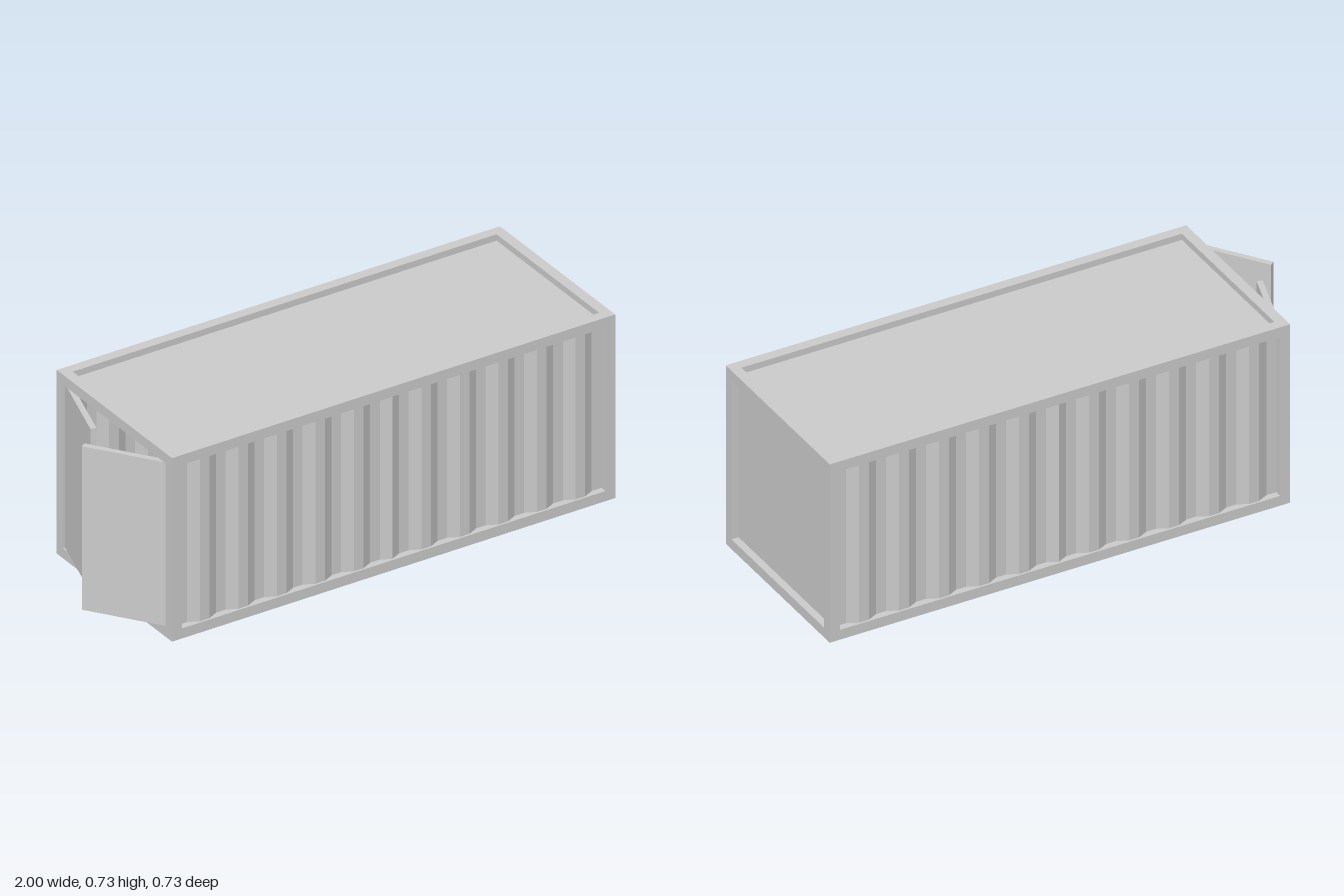
import * as THREE from 'three';

const X0 = -0.822, X1 = 1, H = 0.729, Z = 0.364, B = 0.04; // outer limits and beam size
const MID = (X0 + X1) / 2, LEN = X1 - X0;

export function createModel() {
  const model = new THREE.Group();
  model.name = 'cargoContainer';
  const grey = new THREE.MeshStandardMaterial({ color: 0xcccccc, flatShading: true });
  const sheet = new THREE.MeshStandardMaterial({ color: 0xcccccc, flatShading: true, side: THREE.DoubleSide });

  const box = (name, w, h, d, x, y, z, parent = model) => {
    const mesh = new THREE.Mesh(new THREE.BoxGeometry(w, h, d), grey);
    mesh.name = name;
    mesh.position.set(x, y, z);
    parent.add(mesh);
    return mesh;
  };

  // Frame: corner posts, long rails and end rails at top and bottom
  const frame = new THREE.Group();
  frame.name = 'frame';
  model.add(frame);
  for (const s of [-1, 1]) {
    const z = s * (Z - B / 2);
    for (const x of [X0 + B / 2, X1 - B / 2]) {
      box('cornerPost', B, H - 2 * B, B, x, H / 2, z, frame);
    }
    for (const y of [B / 2, H - B / 2]) {
      box('longRail', LEN, B, B, MID, y, z, frame);
      box('endRail', B, B, 2 * (Z - B), MID + s * (LEN - B) / 2, y, 0, frame);
    }
  }

  // Floor flush with the underside, sunken roof and closed end wall
  box('floor', LEN - 2 * B, 0.02, 2 * (Z - B), MID, 0.01, 0);
  box('roof', LEN - 2 * B, 0.015, 2 * (Z - B), MID, H - 0.0325, 0);
  box('endWall', 0.012, H - 2 * B, 2 * (Z - B), X1 - 0.034, H / 2, 0);

  // Corrugated side walls, each made of two halves mirrored at the middle seam
  const segments = 44;
  const wall = new THREE.PlaneGeometry(LEN - 2 * B, H - 2 * B, segments, 1);
  const pos = wall.attributes.position;
  for (let i = 0; i < pos.count; i++) {
    const col = i % (segments + 1);
    const fold = Math.min(col, segments - col);
    pos.setZ(i, fold % 4 < 2 ? Z - 0.027 : Z - 0.008);
  }
  wall.computeVertexNormals();
  for (const s of [1, -1]) {
    const mesh = new THREE.Mesh(wall, sheet);
    mesh.name = s > 0 ? 'frontWall' : 'backWall';
    mesh.position.set(MID, H / 2, 0);
    if (s < 0) mesh.rotation.y = Math.PI;
    model.add(mesh);
  }

  // Two doors standing ajar, hinged at the corner posts
  const doorWidth = Z - B;
  for (const [name, s, angle] of [['frontDoor', 1, 35.6], ['backDoor', -1, 17.3]]) {
    const hinge = new THREE.Group();
    hinge.name = name;
    hinge.position.set(X0 + 0.02, H / 2, s * (Z - B));
    hinge.rotation.y = s * THREE.MathUtils.degToRad(angle);
    box(name + 'Leaf', 0.022, H - 2 * B, doorWidth, 0, 0, -s * doorWidth / 2, hinge);
    model.add(hinge);
  }

  return model;
}
